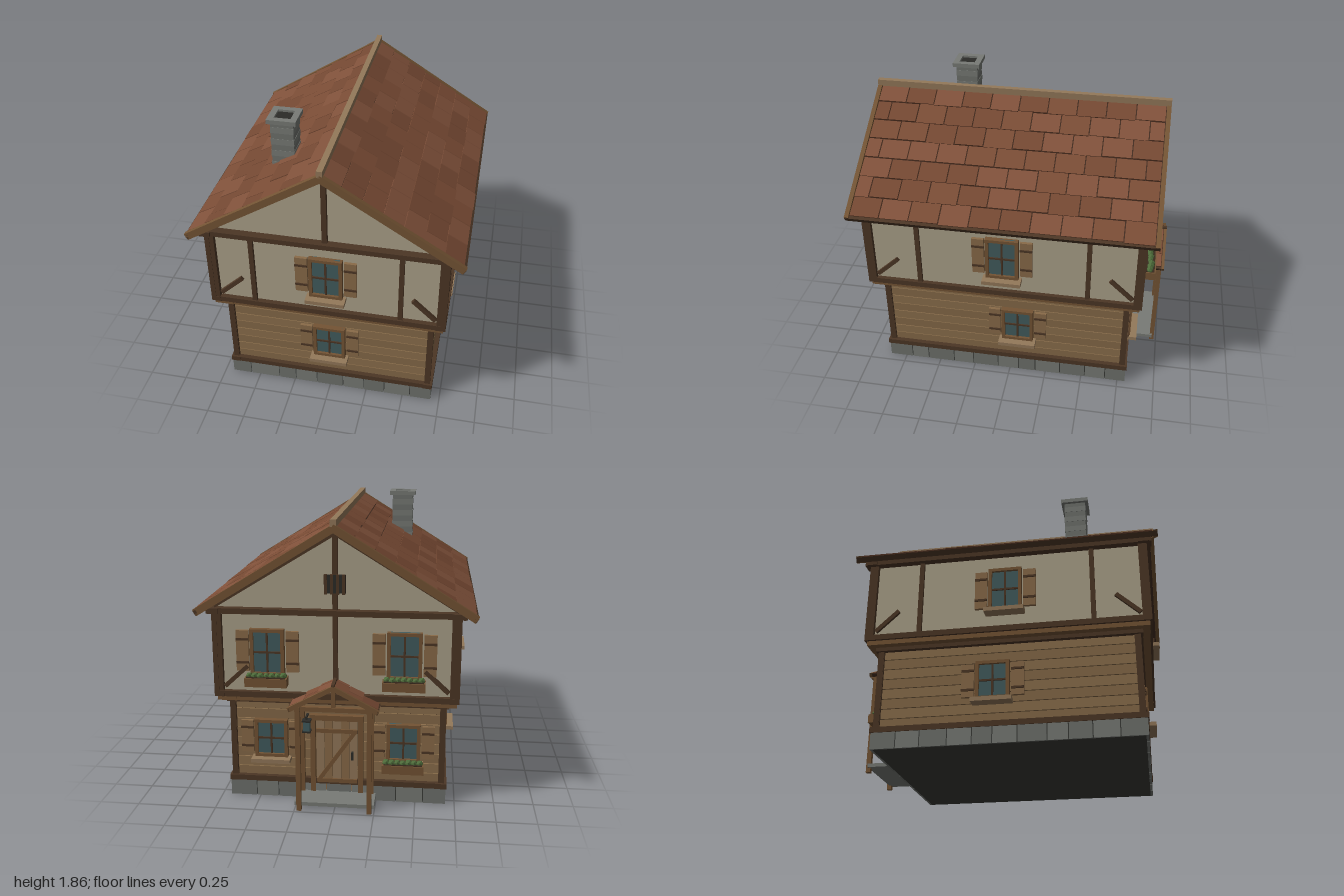
import * as THREE from 'three';

const mat = (color, side = THREE.FrontSide) =>
  new THREE.MeshStandardMaterial({ color, side, flatShading: true });
const M = {
  plaster: mat(0xaca28a, THREE.DoubleSide), plank: mat(0x8c6f4c), plankB: mat(0x866a48),
  dark: mat(0x4c3625), wood: mat(0x745434), pale: mat(0x94795a), shutter: mat(0x8a6b49),
  stone: mat(0x787b76), stoneB: mat(0x6f726d), seam: mat(0x393a36), glass: mat(0x425c5e),
  black: mat(0x2b2b28), tileA: mat(0x7a4c35), tileB: mat(0x744832), tileC: mat(0x80513a),
  tileBase: mat(0x422c20), leaf: mat(0x4d6b3a), soil: mat(0x3a2a1e),
};

let seed = 7;
const rand = () => (seed = (seed * 16807) % 2147483647) / 2147483647;

function group(parent, name, x = 0, y = 0, z = 0) {
  const g = new THREE.Group();
  g.name = name;
  g.position.set(x, y, z);
  parent.add(g);
  return g;
}

// Box centred at (x, y, z)
function box(parent, name, m, w, h, d, x, y, z) {
  const b = new THREE.Mesh(new THREE.BoxGeometry(w, h, d), m);
  b.name = name;
  b.position.set(x, y, z);
  parent.add(b);
  return b;
}

// Board in the xy plane running between two points
function beam(parent, name, m, x0, y0, x1, y1, t, d, z) {
  const b = box(parent, name, m, Math.hypot(x1 - x0, y1 - y0), t, d, (x0 + x1) / 2, (y0 + y1) / 2, z);
  b.rotation.z = Math.atan2(y1 - y0, x1 - x0);
  return b;
}

// Window with glazing bars, shutters and sill; y is the frame's bottom
function addWindow(parent, x, y, h, z, flowers = false) {
  const g = group(parent, 'window', x, y, z);
  box(g, 'glass', M.glass, 0.18, h, 0.02, 0, h / 2, 0.008);
  for (const s of [-1, 1]) {
    box(g, 'frameSide', M.wood, 0.022, h, 0.045, s * 0.095, h / 2, 0.0125);
    box(g, 'frameRail', M.wood, 0.21, 0.02, 0.045, 0, h / 2 + s * (h / 2 - 0.01), 0.0125);
    box(g, 'shutter', M.shutter, 0.078, h - 0.035, 0.02, s * 0.155, h / 2 + 0.005, 0.01);
    for (const t of [0.27, 0.77])
      box(g, 'shutterBatten', M.dark, 0.078, 0.014, 0.008, s * 0.155, h * t, 0.023);
  }
  box(g, 'mullion', M.dark, 0.012, h - 0.03, 0.012, 0, h / 2, 0.02);
  box(g, 'glazingBar', M.dark, 0.17, 0.012, 0.012, 0, h / 2, 0.02);
  box(g, 'sill', M.pale, 0.25, 0.026, 0.085, 0, -0.014, 0.036);
  if (!flowers) return;
  const f = group(g, 'flowerBox', 0, -0.025, 0.055);
  box(f, 'planter', M.wood, 0.26, 0.055, 0.075, 0, 0, 0.01);
  box(f, 'soil', M.soil, 0.24, 0.006, 0.06, 0, 0.029, 0.01);
  for (let i = 0; i < 7; i++) {
    const p = new THREE.Mesh(new THREE.IcosahedronGeometry(0.02 + 0.006 * rand(), 0), M.leaf);
    p.name = 'plant';
    p.position.set(-0.105 + i * 0.035, 0.035, 0.005 + 0.015 * rand());
    f.add(p);
  }
}

// Two tiled slopes falling from a ridge that runs along z
function addRoof(parent, name, half, drop, depth, rows, cols, k) {
  const angle = Math.atan2(drop, half), L = Math.hypot(half, drop);
  for (const s of [-1, 1]) {
    const g = group(parent, name);
    g.rotation.z = -s * angle;
    box(g, 'roofDeck', M.tileBase, L, 0.022 * k, depth - 0.01, s * L / 2, -0.024 * k, 0);
    for (const e of [-1, 1])
      box(g, 'bargeBoard', M.wood, L, 0.045 * k, 0.028 * k, s * L / 2, -0.018 * k, e * (depth / 2 - 0.014 * k));
    const rowL = (L - 0.015) / rows, span = depth - 0.058 * k, w = span / cols;
    for (let r = 0; r < rows; r++) {
      const shift = r % 2 ? 0.5 : 0;
      for (let c = 0; c < cols + (shift ? 1 : 0); c++) {
        const z0 = Math.max(0, (c - shift) * w), z1 = Math.min(span, (c + 1 - shift) * w);
        const m = [M.tileA, M.tileB, M.tileC][Math.floor(rand() * 3)];
        const len = rowL - 0.006 + (rand() < 0.3 ? 0.012 : 0);
        const t = box(g, 'roofTile', m, len, 0.014 * k, z1 - z0 - 0.007,
          s * ((r + 0.5) * rowL), -0.007 * k + 0.003 * rand(), (z0 + z1 - span) / 2);
        t.rotation.z = s * 0.045;
      }
    }
    box(g, 'eaveBoard', M.dark, 0.02 * k, 0.034 * k, depth, s * (L - 0.008), -0.021 * k, 0);
  }
}

// Parts repeated on all four walls; hx is half the wall, zo its distance out
function addWall(house, name, turn, hw, out) {
  const g = group(house, name);
  g.rotation.y = turn;
  // foundation stones
  const n = Math.round(hw / 0.075), fw = (hw + 0.035) * 2;
  let x = -fw / 2;
  for (let i = 0; i < n; i++) {
    const end = i === n - 1 ? fw / 2 : -fw / 2 + fw * (i + 1 + 0.35 * (rand() - 0.5)) / n;
    box(g, 'foundationStone', i % 2 ? M.stone : M.stoneB, end - x - 0.006, 0.108, 0.03, (x + end) / 2, 0.056, out + 0.02);
    x = end;
  }
  // horizontal planks
  for (let i = 0; i < 8; i++)
    box(g, 'plank', i % 2 ? M.plank : M.plankB, hw * 2, 0.061, 0.02, 0, 0.165 + i * 0.066, out);
  // horizontal timbers
  box(g, 'sillBeam', M.dark, (hw + 0.04) * 2, 0.035, 0.06, 0, 0.124, out + 0.01);
  box(g, 'lowerPlate', M.dark, (hw + 0.04) * 2, 0.03, 0.06, 0, 0.662, out + 0.01);
  box(g, 'jettyBeam', M.wood, (hw + 0.085) * 2, 0.03, 0.12, 0, 0.687, out + 0.025);
  box(g, 'upperSill', M.dark, (hw + 0.1) * 2, 0.036, 0.06, 0, 0.719, out + 0.07);
  box(g, 'topPlate', M.dark, (hw + 0.13) * 2, 0.034, 0.07, 0, 1.254, out + 0.085);
  for (const s of [-1, 1]) {
    box(g, 'lowerCornerPost', M.dark, 0.036, 0.54, 0.036, s * (hw + 0.007), 0.39, out + 0.007);
    box(g, 'upperCornerPost', M.dark, 0.056, 0.53, 0.03, s * (hw + 0.082 - 0.01), 0.975, out + 0.085);
    beam(g, 'cornerBrace', M.dark, s * (hw + 0.035), 0.765, s * (hw - 0.11), 0.9, 0.026, 0.026, out + 0.078);
  }
  return g;
}

function addPost(g, x, out) {
  box(g, 'wallPost', M.dark, 0.03, 0.51, 0.03, x, 0.985, out + 0.075);
}

// Gable panel with centre post and rafters
function addGable(g, z) {
  const s = new THREE.Shape([[-0.72, 1.25], [0.72, 1.25], [0.72, 1.31], [0, 1.75], [-0.72, 1.31]]
    .map(p => new THREE.Vector2(...p)));
  const panel = new THREE.Mesh(new THREE.ShapeGeometry(s), M.plaster);
  panel.name = 'gablePanel';
  panel.position.z = z;
  g.add(panel);
  box(g, 'gablePost', M.dark, 0.032, 0.48, 0.03, 0, 1.51, z + 0.012);
  for (const e of [-1, 1]) beam(g, 'gableRafter', M.dark, 0, 1.737, e * 0.74, 1.284, 0.032, 0.04, z + 0.015);
}

// Door with braces, canopy on posts, step and lantern
function addPorch(back) {
  const p = group(back, 'porch');
  box(p, 'step', M.stone, 0.5, 0.024, 0.2, 0, 0.042, 0.9);
  for (let i = 0; i < 5; i++)
    box(p, 'doorBoard', i % 2 ? M.shutter : M.pale, 0.05, 0.48, 0.025, (i - 2) * 0.053, 0.3, 0.815);
  for (const y of [0.13, 0.47]) box(p, 'doorBatten', M.wood, 0.26, 0.026, 0.012, 0, y, 0.832);
  beam(p, 'doorBrace', M.wood, -0.11, 0.14, 0.11, 0.46, 0.026, 0.012, 0.832);
  box(p, 'doorHandle', M.black, 0.014, 0.05, 0.025, 0.1, 0.31, 0.842);
  box(p, 'doorLintel', M.wood, 0.34, 0.035, 0.045, 0, 0.558, 0.82);
  for (const s of [-1, 1]) {
    box(p, 'doorJamb', M.wood, 0.032, 0.52, 0.045, s * 0.152, 0.295, 0.82);
    box(p, 'porchPost', M.wood, 0.03, 0.67, 0.03, s * 0.22, 0.335, 1.0);
    box(p, 'wallHalfPost', M.wood, 0.03, 0.61, 0.03, s * 0.22, 0.355, 0.83);
    box(p, 'porchBeam', M.wood, 0.032, 0.028, 0.24, s * 0.22, 0.68, 0.91);
  }
  box(p, 'porchCrossBeam', M.wood, 0.47, 0.028, 0.03, 0, 0.68, 1.0);
  box(p, 'kingPost', M.wood, 0.024, 0.12, 0.024, 0, 0.75, 1.0);
  addRoof(group(p, 'porchRoof', 0, 0.835, 0.9), 'porchRoofSlope', 0.28, 0.15, 0.26, 3, 2, 0.65);
  box(p, 'porchRidge', M.dark, 0.02, 0.018, 0.26, 0, 0.835, 0.9);
  // lantern
  const l = group(p, 'lantern', -0.185, 0.52, 0.87);
  box(l, 'lanternBracket', M.black, 0.012, 0.012, 0.07, 0, 0.055, -0.015);
  box(l, 'lanternGlass', M.glass, 0.042, 0.065, 0.042, 0, -0.005, 0);
  for (const y of [-0.04, 0.03]) box(l, 'lanternPlate', M.black, 0.054, 0.01, 0.054, 0, y, 0);
  box(l, 'lanternHook', M.black, 0.01, 0.03, 0.01, 0, 0.045, 0);
}

function addChimney(house) {
  const c = group(house, 'chimney', -0.343, 0, 0.43);
  for (let i = 0; i < 11; i++) {
    const w = i % 2 ? 0.148 : 0.144;
    box(c, 'chimneyCourse', i % 2 ? M.stone : M.stoneB, w, 0.04, w, 0, 1.42 + i * 0.04, 0);
  }
  box(c, 'flue', M.black, 0.11, 0.01, 0.11, 0, 1.838, 0);
  for (const s of [-1, 1]) {
    box(c, 'chimneyCap', M.stone, 0.185, 0.028, 0.04, 0, 1.843, s * 0.0725);
    box(c, 'chimneyCap', M.stone, 0.04, 0.028, 0.105, s * 0.0725, 1.843, 0);
  }
}

export function createModel() {
  const model = new THREE.Group();
  model.name = 'timberHouse';
  const house = group(model, 'house', 0, 0, 0.03);

  // solid cores behind the cladding
  box(house, 'foundationCore', M.seam, 1.37, 0.11, 1.63, 0, 0.055, 0);
  box(house, 'lowerCore', M.dark, 1.31, 0.58, 1.59, 0, 0.4, 0);
  box(house, 'upperWalls', M.plaster, 1.46, 0.55, 1.73, 0, 0.975, 0);

  const front = addWall(house, 'frontWall', 0, 0.655, 0.797);
  const back = addWall(house, 'backWall', Math.PI, 0.655, 0.797);
  const right = addWall(house, 'rightSideWall', Math.PI / 2, 0.8, 0.657);
  const left = addWall(house, 'leftSideWall', -Math.PI / 2, 0.8, 0.657);

  for (const s of [-1, 1]) addPost(front, s * 0.47, 0.797);
  addWindow(front, 0, 0.845, 0.295, 0.865);
  addWindow(front, 0, 0.28, 0.25, 0.807);
  for (const [g, s] of [[right, 1], [left, -1]]) {
    for (const e of [-1, 1]) addPost(g, e * 0.55, 0.657);
    addWindow(g, 0, 0.845, 0.295, 0.73);
    addWindow(g, s * 0.085, 0.28, 0.25, 0.667);
  }
  addPost(back, 0, 0.797);
  for (const s of [-1, 1]) {
    addWindow(back, s * 0.42, 0.845, 0.295, 0.865, true);
    addWindow(back, s * 0.42, 0.28, 0.25, 0.807, s > 0);
  }
  addGable(front, 0.866);
  addGable(back, 0.866);

  // gable vent
  const vent = group(back, 'gableVent', 0, 1.43, 0.9);
  box(vent, 'ventBack', M.black, 0.13, 0.11, 0.02, 0, 0, -0.01);
  for (let i = 0; i < 4; i++) box(vent, 'ventSlat', M.dark, 0.018, 0.12, 0.016, (i - 1.5) * 0.036, 0, 0.006);

  addPorch(back);

  addRoof(group(house, 'mainRoof', 0, 1.79, 0), 'mainRoofSlope', 0.85, 0.525, 1.94, 7, 10, 1);
  box(house, 'ridgeCap', M.pale, 0.036, 0.042, 1.94, 0, 1.8, 0);
  addChimney(house);
  return model;
}
